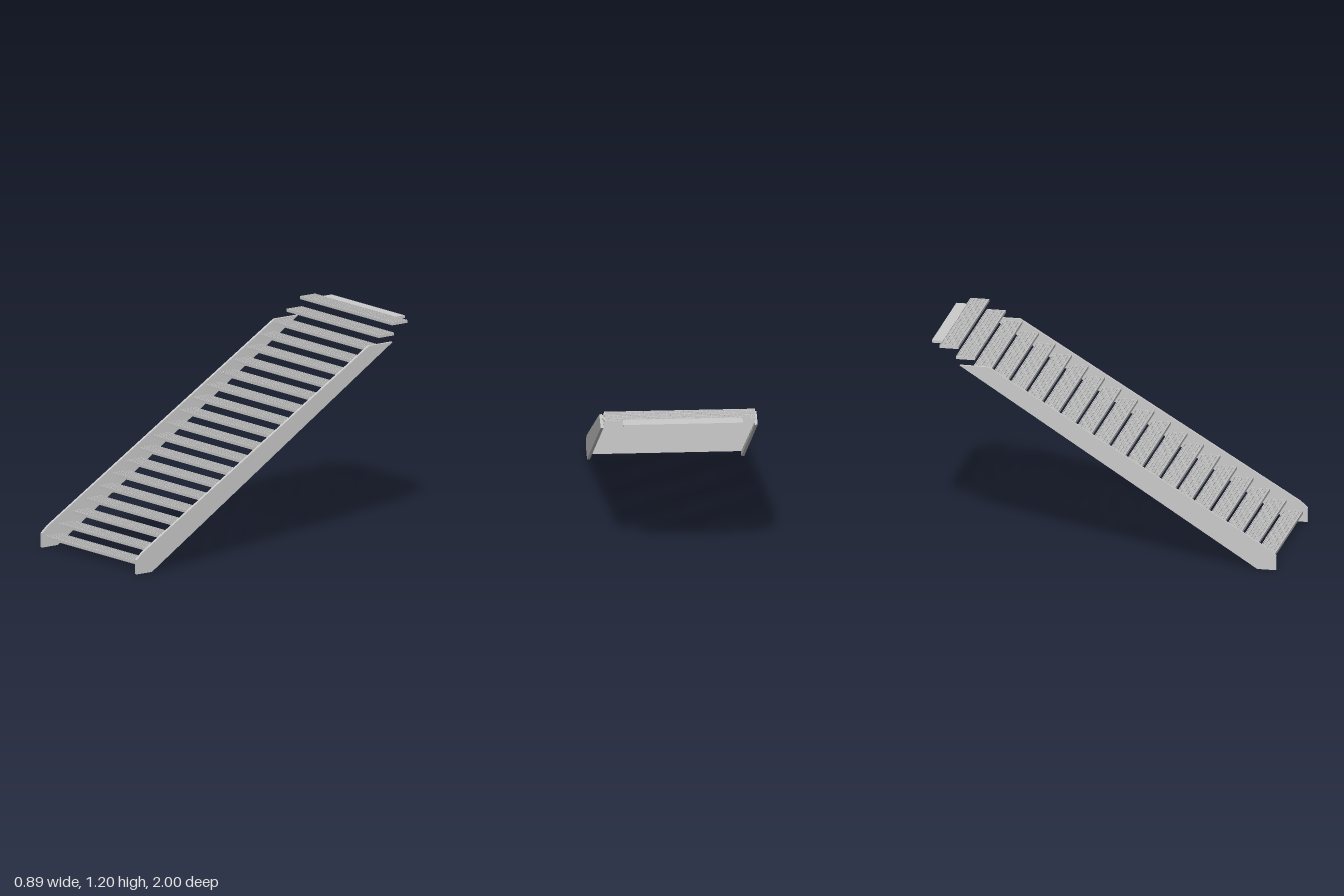
import * as THREE from 'three';
import { mergeGeometries } from 'three/addons/utils/BufferGeometryUtils.js';

const STEPS = 20, RISE = 0.0598, RUN = 0.095;
const WIDTH = 0.852, DEPTH = 0.108, THICK = 0.017;

function box(w, h, d, x, y, z) {
  return new THREE.BoxGeometry(w, h, d).translate(x, y, z);
}

// Open grating: edge bands around a grid of upright bars; front top edge at the origin
function gratingGeometry() {
  const band = 0.004, bar = 0.0025, barH = THICK * 0.9;
  const parts = [];
  for (const z of [-band / 2, -DEPTH + band / 2]) {
    parts.push(box(WIDTH, THICK, band, 0, -THICK / 2, z));
  }
  for (const s of [-1, 1]) {
    parts.push(box(band, THICK, DEPTH - 2 * band, s * (WIDTH - band) / 2, -THICK / 2, -DEPTH / 2));
  }
  const columns = 34, rows = 5;
  for (let i = 1; i < columns; i++) {
    const x = -WIDTH / 2 + (i * WIDTH) / columns;
    parts.push(box(bar, barH, DEPTH - 2 * band, x, -THICK / 2, -DEPTH / 2));
  }
  for (let j = 1; j < rows; j++) {
    parts.push(box(WIDTH - 2 * band, barH - 0.001, bar, 0, -THICK / 2, (-j * DEPTH) / rows));
  }
  return mergeGeometries(parts);
}

// Sloping side board, drawn in (z, y) and extruded across x
function stringerGeometry(thickness) {
  const shape = new THREE.Shape([
    [1, 0], [1, 0.083], [0.957, 0.12], [-0.655, 1.092], [-0.822, 1.092], [0.892, 0],
  ].map(([z, y]) => new THREE.Vector2(-z, y)));
  return new THREE.ExtrudeGeometry(shape, { depth: thickness, bevelEnabled: false })
    .translate(0, 0, -thickness / 2)
    .rotateY(Math.PI / 2);
}

export function createModel() {
  const group = new THREE.Group();
  const material = new THREE.MeshStandardMaterial({ color: 0xcccccc });
  const add = (name, geometry, x, y, z) => {
    const mesh = new THREE.Mesh(geometry, material);
    mesh.name = name;
    mesh.position.set(x, y, z);
    group.add(mesh);
  };

  // Side boards
  const stringer = stringerGeometry(0.016);
  add('leftStringer', stringer, 0.435, 0, 0);
  add('rightStringer', stringer, -0.435, 0, 0);

  // Treads, climbing toward the back
  const grating = gratingGeometry();
  for (let i = 0; i < STEPS; i++) {
    add(`tread${i + 1}`, grating, -0.001, 1.2 - (STEPS - 1 - i) * RISE, 0.973 - i * RUN);
  }

  // Landing plate behind the top tread
  add('landingPlate', new THREE.BoxGeometry(0.675, 0.015, 0.06), -0.014, 1.1925, -0.97);

  return group;
}
